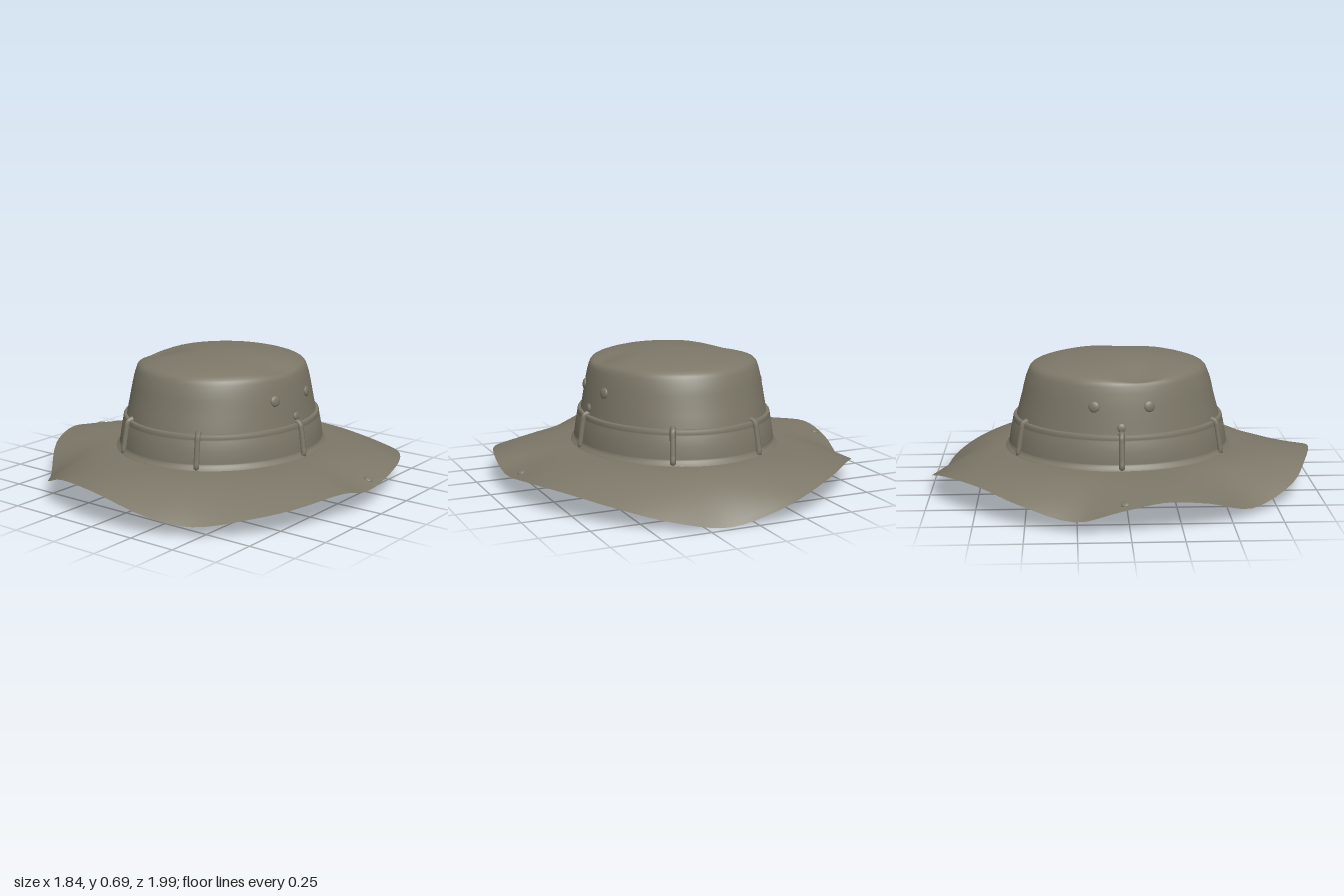
import * as THREE from 'three';

const N = 96, CZ = -0.025;

// Outer brim edge, clockwise seen from above: x, y, z
const EDGE = [
  [.92, .11, 0], [.91, .15, .21], [.82, .13, .5], [.69, .1, .66], [.48, .065, .83], [.3, .1, .93],
  [0, .185, .99], [-.26, .175, .93], [-.44, .11, .84], [-.65, .05, .61], [-.84, .14, .37], [-.91, .17, .16],
  [-.92, .13, -.05], [-.88, .07, -.26], [-.79, .13, -.53], [-.65, .17, -.71], [-.44, .165, -.9], [-.23, .11, -.985],
  [-.1, .07, -1], [.14, .01, -.97], [.4, .05, -.91], [.61, .1, -.77], [.8, .14, -.53], [.89, .135, -.29],
];

// Side wall of the crown: height, half width, half depth
const WALL = [[.2, .505, .565], [.38, .478, .532], [.5, .46, .5], [.57, .447, .485], [.61, .437, .468]];

function wallPoint(a, y, off = 0) {
  let k = 0;
  while (k < WALL.length - 2 && y > WALL[k + 1][0]) k++;
  const [y0, x0, z0] = WALL[k], [y1, x1, z1] = WALL[k + 1];
  const t = (y - y0) / (y1 - y0);
  return new THREE.Vector3(
    Math.cos(a) * (x0 + (x1 - x0) * t + off), y,
    CZ + Math.sin(a) * (z0 + (z1 - z0) * t + off));
}

// Closed rings of points joined into one smooth surface
function loft(count, point) {
  const pos = [], idx = [];
  for (let j = 0; j < count; j++)
    for (let i = 0; i < N; i++) pos.push(...point(i / N, j).toArray());
  for (let j = 0; j < count - 1; j++)
    for (let i = 0; i < N; i++) {
      const k = (i + 1) % N, a = j * N + i, b = j * N + k, c = a + N, d = b + N;
      idx.push(a, c, b, b, c, d);
    }
  const g = new THREE.BufferGeometry();
  g.setAttribute('position', new THREE.Float32BufferAttribute(pos, 3));
  g.setIndex(idx);
  g.computeVertexNormals();
  return g;
}

export function createModel() {
  const hat = new THREE.Group();
  hat.name = 'hat';
  const cloth = new THREE.MeshStandardMaterial({ color: 0x7c7767, side: THREE.DoubleSide });
  cloth.name = 'olive cloth';
  const add = (name, geometry) => {
    const m = new THREE.Mesh(geometry, cloth);
    m.name = name;
    hat.add(m);
    return m;
  };

  // Wavy brim, from the outer edge in to the head opening
  const edge = new THREE.CatmullRomCurve3(EDGE.map(p => new THREE.Vector3(...p)), true, 'centripetal');
  const brimPoint = (u, t) => {
    const p = edge.getPoint(u);
    const a = Math.atan2((p.z - CZ) / .565, p.x / .505);
    const q = wallPoint(a, .21);
    return new THREE.Vector3(
      q.x + (p.x - q.x) * t,
      .21 + (p.y - .21) * Math.pow(t, 2.1),
      q.z + (p.z - q.z) * t);
  };
  add('brim', loft(19, (u, j) => brimPoint(u, 1 - j / 18)));

  // Crown: wall, rounded shoulder and softly dented top
  const sides = [.2, .26, .32, .38, .44, .5, .54, .58, .61];
  const top = [[.985, .628], [.96, .641], [.92, .651], [.85, .662], [.75, .674], [.6, .685], [.45, .693], [.3, .699], [.15, .703], [.001, .705]];
  add('crown', loft(sides.length + top.length, (u, j) => {
    const a = u * Math.PI * 2;
    if (j < sides.length) return wallPoint(a, sides[j]);
    const [f, y] = top[j - sides.length];
    const p = wallPoint(a, .61);
    p.x *= f;
    p.z = CZ + (p.z - CZ) * f;
    const dent = (x, z, depth) => depth * Math.exp(-((p.x - x) ** 2 + (p.z - z) ** 2) / .012);
    const fold = Math.min(1, (1 - f) * 12);
    p.y = y - fold * (dent(.37, .02, .018) + dent(-.36, .06, .03) + dent(-.25, .1, .01));
    return p;
  }));

  // Hat band with stitched grooves near both edges: height, distance off the crown
  const band = [[.205, .03], [.216, .028], [.22, .016], [.232, .016], [.236, .011], [.24, .016], [.3, .017],
    [.35, .016], [.354, .011], [.358, .016], [.376, .016], [.382, .013], [.382, -.003]];
  add('hatBand', loft(band.length, (u, j) => wallPoint(u * Math.PI * 2, ...band[j])));

  // Six narrow loops around the band
  for (const deg of [0, 63, 117, 180, 243, 297]) {
    const a = THREE.MathUtils.degToRad(deg);
    const path = [[.212, .0], [.222, .02], [.26, .022], [.34, .022], [.378, .019], [.388, -.003]]
      .map(([y, off]) => wallPoint(a, y, off));
    add('bandLoop', new THREE.TubeGeometry(new THREE.CatmullRomCurve3(path), 20, .015, 8));
  }

  // Eyelets and a small rivet on each side, snaps on the brim
  const stud = (name, p, r, outward) => {
    const m = add(name, new THREE.SphereGeometry(r, 20, 12));
    m.scale.y = .4;
    m.position.copy(p);
    m.quaternion.setFromUnitVectors(new THREE.Vector3(0, 1, 0), outward.normalize());
  };
  for (const s of [1, -1]) {
    for (const [name, z, y, r] of [['eyelet', .115, .515, .028], ['eyelet', -.16, .515, .028], ['rivet', -.025, .415, .022]]) {
      const a = Math.asin((z - CZ) / .5);
      const p = wallPoint(s > 0 ? a : Math.PI - a, y, .002);
      stud(name, p, r, new THREE.Vector3(p.x, .06, p.z - CZ));
    }
    const u = s > 0 ? .985 : .495;
    const p = brimPoint(u, .88), inner = brimPoint(u, .8), next = brimPoint(u + .01, .88);
    stud('brimSnap', p, .022, next.sub(p).cross(p.clone().sub(inner)));
  }
  return hat;
}
